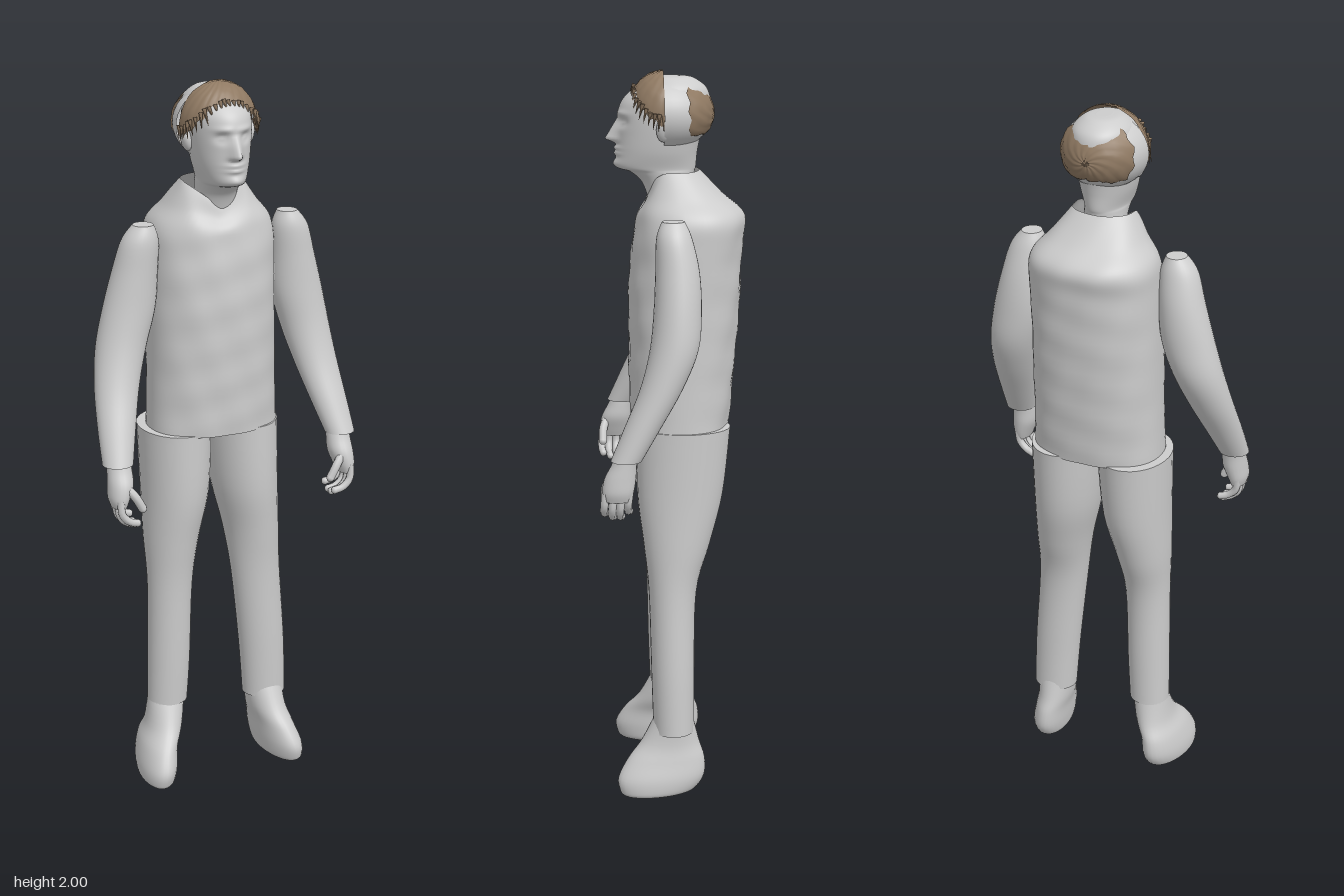
import * as THREE from 'three';

const cloth = new THREE.MeshStandardMaterial({ color: 0xcccccc, side: THREE.DoubleSide });
cloth.name = 'pale grey';
const hairBrown = new THREE.MeshStandardMaterial({ color: 0x8f7962, side: THREE.DoubleSide });
hairBrown.name = 'hair brown';

const gauss = (d, w) => Math.exp(-(d * d) / (w * w));

// Catmull-Rom value of column k at position t along the rows
function spline(rows, t, k) {
  const n = rows.length - 1, i = Math.min(Math.floor(t), n - 1), f = t - i;
  const p = (j) => rows[Math.max(0, Math.min(n, j))][k];
  const a = p(i - 1), b = p(i), c = p(i + 1), d = p(i + 2);
  const m0 = (c - a) / 2, m1 = (d - b) / 2;
  return b + f * (m0 + f * (3 * (c - b) - 2 * m0 - m1 + f * (2 * (b - c) + m0 + m1)));
}

// Smooth loft through oval sections [y, cx, cz, rx, rz], listed upwards
function loft(rows, { seg = 32, steps = 5, power = 2, capTop = true, shape } = {}) {
  const pos = [], idx = [], rings = (rows.length - 1) * steps;
  const v = new THREE.Vector3();
  const round = (q) => Math.sign(q) * Math.abs(q) ** (2 / power);
  for (let i = 0; i <= rings; i++) {
    const [y, cx, cz, rx, rz] = [0, 1, 2, 3, 4].map((k) => spline(rows, i / steps, k));
    for (let j = 0; j < seg; j++) {
      const a = (j / seg) * Math.PI * 2;
      v.set(cx + rx * round(Math.sin(a)), y, cz + rz * round(Math.cos(a)));
      if (shape) shape(v, i / rings);
      pos.push(v.x, v.y, v.z);
      if (i < rings) {
        const p = i * seg + j, q = i * seg + ((j + 1) % seg);
        idx.push(p, q, q + seg, p, q + seg, p + seg);
      }
    }
  }
  // End caps on their own vertices, so the rims stay sharp
  const cap = (ring, row, up) => {
    const start = pos.length / 3, from = ring * seg * 3;
    pos.push(...pos.slice(from, from + seg * 3), row[1], row[0], row[2]);
    for (let j = 0; j < seg; j++) {
      const p = start + j, q = start + ((j + 1) % seg);
      idx.push(start + seg, up ? p : q, up ? q : p);
    }
  };
  cap(0, rows[0], false);
  if (capTop) cap(rings, rows[rows.length - 1], true);
  const g = new THREE.BufferGeometry();
  g.setAttribute('position', new THREE.Float32BufferAttribute(pos, 3));
  g.setIndex(idx);
  g.computeVertexNormals();
  return g;
}

// Curved patch of an ellipsoid: at(u, v) gives a point, u and v from 0 to 1
function patch(nu, nv, at) {
  const g = new THREE.PlaneGeometry(1, 1, nu, nv), p = g.attributes.position, uv = g.attributes.uv;
  for (let i = 0; i < p.count; i++) p.setXYZ(i, ...at(uv.getX(i), uv.getY(i)));
  g.computeVertexNormals();
  return g;
}

export function createModel() {
  const model = new THREE.Group();
  model.name = 'standingMan';
  const add = (name, geometry, material = cloth, parent = model) => {
    const m = new THREE.Mesh(geometry, material);
    m.name = name;
    parent.add(m);
    return m;
  };

  // Vest with soft wrinkles and a V-shaped collar
  add('vest', loft([
    [1.04, 0.01, -0.025, 0.185, 0.135], [1.2, 0.01, -0.03, 0.18, 0.145],
    [1.4, 0.01, -0.037, 0.178, 0.152], [1.54, 0.012, -0.045, 0.177, 0.15],
    [1.615, 0.012, -0.053, 0.17, 0.146], [1.67, 0.008, -0.035, 0.128, 0.108],
    [1.735, 0.003, -0.01, 0.084, 0.066],
  ], {
    seg: 64, steps: 8, power: 2.25, capTop: false,
    shape: (v) => {
      const ripple = 0.0025 * Math.sin(v.y * 41 + v.x * 23) * Math.sin(v.x * 37 - v.y * 17);
      v.z += Math.sign(v.z + 0.03) * ripple;
      if (v.z > 0 && v.y > 1.6) v.y -= 0.065 * Math.max(0, 1 - Math.abs(v.x) / 0.085) * (v.y - 1.6) / 0.135;
    },
  }));

  // Trouser legs; the man's left cuff sits a little lower
  add('leftLeg', loft([
    [0.18, 0.168, -0.002, 0.064, 0.057], [0.35, 0.158, 0, 0.068, 0.06], [0.58, 0.137, 0, 0.072, 0.066],
    [0.72, 0.125, -0.012, 0.08, 0.092], [0.86, 0.108, -0.022, 0.093, 0.118], [1.045, 0.1, -0.032, 0.1, 0.128],
  ]));
  add('rightLeg', loft([
    [0.215, -0.139, -0.002, 0.058, 0.057], [0.35, -0.134, 0, 0.061, 0.06], [0.58, -0.129, 0, 0.064, 0.066],
    [0.72, -0.12, -0.012, 0.077, 0.092], [0.86, -0.104, -0.022, 0.093, 0.118], [1.045, -0.1, -0.032, 0.1, 0.128],
  ]));

  for (const s of [1, -1]) {
    const side = s > 0 ? 'left' : 'right';
    const ankle = s > 0 ? 0.166 : 0.143;

    // Shoe, with the toe turned outwards
    add(side + 'Shoe', loft([
      [0, 0.188, 0.05, 0.042, 0.09], [0.012, 0.188, 0.042, 0.053, 0.108], [0.05, 0.186, 0.033, 0.056, 0.122],
      [0.1, 0.178, 0.02, 0.052, 0.108], [0.15, (ankle + 0.17) / 2, 0.008, 0.052, 0.08],
      [0.225, ankle, -0.003, 0.053, 0.052],
    ].map(([y, x, ...r]) => [y, x * s, ...r]), {
      shape: (v) => { v.x += s * v.z * 0.13 * (1 - v.y / 0.23); },
    }));

    // Sleeve
    const shift = (y) => (s > 0 ? 0.005 + 0.02 * THREE.MathUtils.smoothstep(y, 1.1, 1.5) : 0);
    add(side + 'Sleeve', loft([
      [1.015, 0.328, 0.13, 0.042, 0.041], [1.1, 0.313, 0.086, 0.052, 0.048], [1.2, 0.292, 0.036, 0.062, 0.056],
      [1.3, 0.266, 0.002, 0.07, 0.064], [1.4, 0.238, -0.008, 0.073, 0.063], [1.5, 0.22, -0.008, 0.063, 0.058],
      [1.585, 0.207, 0, 0.051, 0.047], [1.628, 0.198, 0.002, 0.028, 0.03],
    ].map(([y, x, ...r]) => [y, x * s + shift(y), ...r])));

    // Hand: palm, four curled fingers and a thumb
    const hand = new THREE.Group();
    hand.name = side + 'Hand';
    model.add(hand);
    add('palm', loft([
      [0.905, 0.337, 0.154, 0.02, 0.036], [0.93, 0.335, 0.152, 0.029, 0.042], [0.965, 0.328, 0.146, 0.035, 0.042],
      [1.0, 0.326, 0.136, 0.034, 0.034], [1.03, 0.326, 0.128, 0.032, 0.03],
    ].map(([y, x, ...r]) => [y, x * s, ...r]), { seg: 20 }), cloth, hand);
    const finger = (name, r, points) => {
      const curve = new THREE.CatmullRomCurve3(points.map(([x, y, z]) => new THREE.Vector3(x * s, y, z)));
      add(name, new THREE.TubeGeometry(curve, 10, r, 8), cloth, hand);
      add(name + 'Tip', new THREE.SphereGeometry(r, 8, 6), cloth, hand).position.copy(curve.getPoint(1));
    };
    for (let i = 0; i < 4; i++) {
      const z = 0.122 + i * 0.021, low = [0.865, 0.85, 0.85, 0.86][i];
      finger('finger', 0.0105, [[0.342, 0.93, z], [0.338, low + 0.03, z + 0.004], [0.318, low + 0.008, z + 0.004], [0.295, low, z]]);
    }
    finger('thumb', 0.012, [[0.325, 0.965, 0.17], [0.3, 0.935, 0.184], [0.28, 0.9, 0.186]]);
  }

  // Head and neck, with the face pushed out of the front
  const head = new THREE.Group();
  head.name = 'head';
  head.position.x = 0.008;
  model.add(head);
  add('face', loft([
    [1.64, 0, 0, 0.055, 0.055], [1.7, 0, 0.008, 0.055, 0.068], [1.73, 0, 0.022, 0.056, 0.086],
    [1.745, 0, 0.038, 0.058, 0.106], [1.785, 0, 0.036, 0.07, 0.108], [1.83, 0, 0.03, 0.078, 0.112],
    [1.88, 0, 0.02, 0.084, 0.122], [1.92, 0, 0.012, 0.086, 0.118], [1.955, 0, 0, 0.078, 0.095],
    [1.98, 0, 0, 0.05, 0.06], [1.985, 0, 0, 0.02, 0.03],
  ], {
    seg: 80, steps: 10,
    shape: (v) => {
      if (v.z < 0.05) return;
      const ax = Math.abs(v.x), { y } = v;
      const slope = THREE.MathUtils.clamp((1.875 - y) / 0.055, 0, 1) * gauss(Math.max(0, 1.82 - y), 0.01);
      v.z += 0.034 * slope * gauss(v.x, 0.015) // nose
        - 0.013 * gauss(ax - 0.032, 0.017) * gauss(y - 1.866, 0.013) // eye sockets
        + 0.006 * gauss(ax - 0.032, 0.009) * gauss(y - 1.864, 0.006) // eyes
        + 0.005 * gauss(ax - 0.03, 0.025) * gauss(y - 1.888, 0.008) // brows
        + 0.009 * gauss(v.x, 0.024) * (gauss(y - 1.795, 0.006) + gauss(y - 1.781, 0.006)) // lips
        + 0.008 * gauss(v.x, 0.022) * gauss(y - 1.753, 0.012); // chin
    },
  }), cloth, head);

  // Back half of the skull, open towards the face
  add('skull', patch(32, 20, (u, v) => {
    const a = Math.PI * (0.5 + u), t = Math.PI * (1 - v);
    return [0.116 * Math.sin(t) * Math.sin(a), 1.885 + 0.1 * Math.cos(t), 0.02 + 0.133 * Math.sin(t) * Math.cos(a)];
  }), cloth, head);

  // Ears
  for (const s of [1, -1]) {
    const ear = add('ear', new THREE.SphereGeometry(1, 14, 10), cloth, head);
    ear.scale.set(0.014, 0.033, 0.02);
    ear.position.set(s * 0.09, 1.85, 0.022);
    ear.rotation.z = -s * 0.2;
  }

  // Front hair with a ragged fringe, and a patch over the back of the skull
  const rag = (i) => Math.sin(i * 12.9) * 0.5 + Math.sin(i * 4.7) * 0.5;
  add('frontHair', patch(40, 10, (u, v) => {
    const a = Math.PI * (u - 0.5), k = 1 + 0.012 * rag(u * 40 + v * 70);
    const t = (1 - v) * (1.0 + 0.72 * Math.sin(a) ** 2 + 0.1 * rag(u * 40));
    return [0.108 * k * Math.sin(t) * Math.sin(a), 1.885 + 0.114 * Math.cos(t) * k, 0.02 + 0.096 * k * Math.sin(t) * Math.cos(a)];
  }), hairBrown, head);
  add('backHair', patch(48, 10, (u, v) => {
    const a = Math.PI * 2 * u, k = 1 + 0.012 * rag((u % 1) * 48 + v * 70);
    const t = (1 - v) * (1.08 + 0.07 * rag((u % 1) * 48));
    return [0.12 * k * Math.sin(t) * Math.sin(a),
      Math.max(1.832 + 0.006 * rag(u * 48), 1.887 + 0.105 * k * Math.sin(t) * Math.cos(a)), 0.02 - 0.137 * k * Math.cos(t)];
  }), hairBrown, head);

  // Short locks hanging along the edge of the front hair
  for (let i = 0; i < 25; i++) {
    const a = Math.PI * (i / 24 - 0.5), t = 0.98 + 0.7 * Math.sin(a) ** 2;
    const lock = add('lock', new THREE.ConeGeometry(0.006, 0.04 + 0.01 * rag(i), 5), hairBrown, head);
    lock.position.set(0.11 * Math.sin(t) * Math.sin(a), 1.88 + 0.114 * Math.cos(t), 0.022 + 0.1 * Math.sin(t) * Math.cos(a));
    lock.rotation.set(Math.PI - 0.4 * Math.cos(a), 0, 0.3 * rag(i + 5));
  }
  return model;
}
